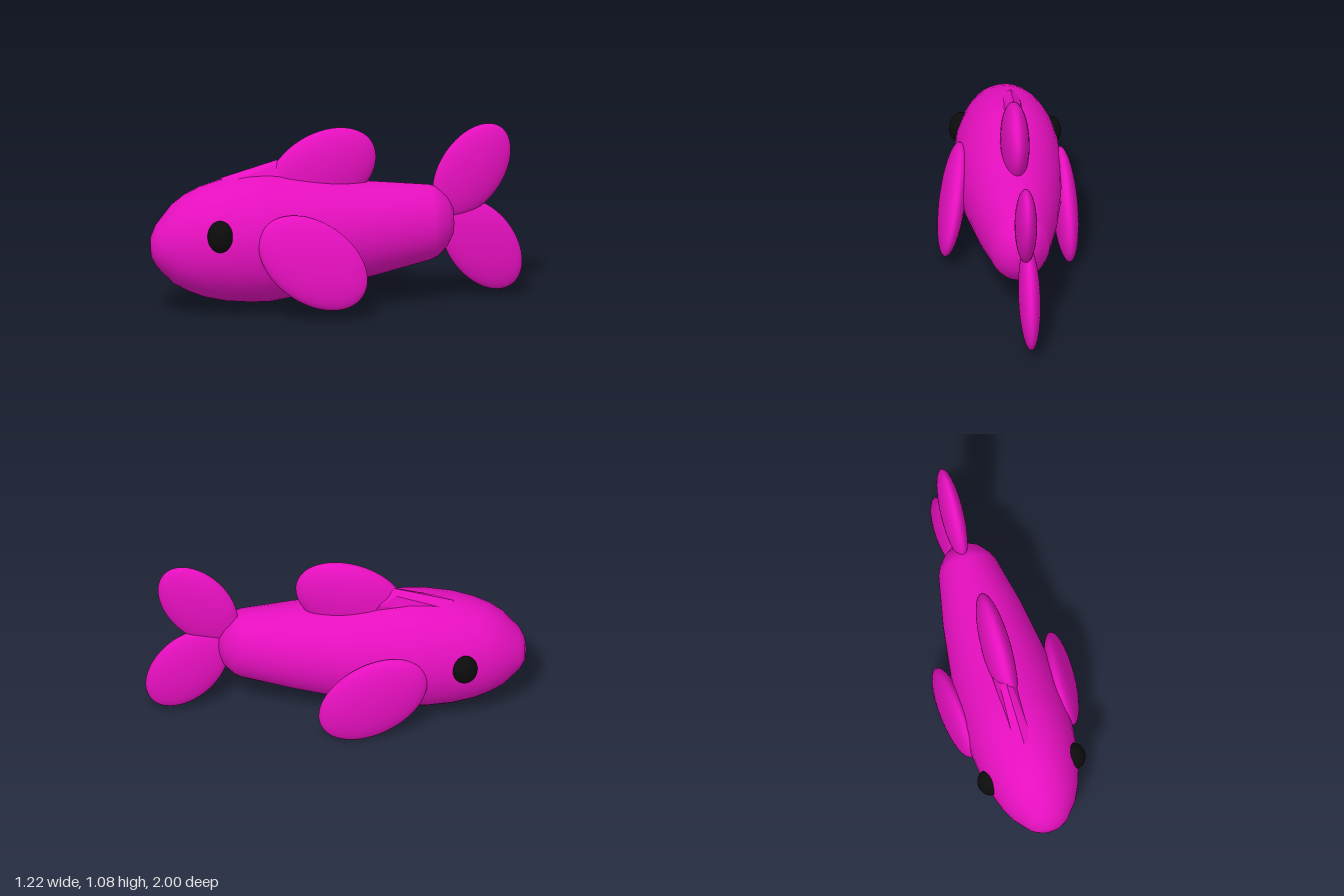
import * as THREE from 'three';
import { ConvexGeometry } from 'three/addons/geometries/ConvexGeometry.js';

const skin = new THREE.MeshStandardMaterial({ color: 0xe60fbf });
const black = new THREE.MeshStandardMaterial({ color: 0x0c0c0c });
const V = (x, y, z) => new THREE.Vector3(x, y, z);

// Ellipsoid whose long axis follows u and whose thin axis follows n
function ellipsoid(name, material, center, u, n, [long, wide, thin]) {
  const axisU = u.clone().normalize();
  const axisV = n.clone().cross(axisU).normalize();
  const axisN = axisU.clone().cross(axisV);
  const geometry = new THREE.SphereGeometry(1, 40, 28);
  geometry.scale(long, wide, thin);
  geometry.applyMatrix4(new THREE.Matrix4().makeBasis(axisU, axisV, axisN));
  const mesh = new THREE.Mesh(geometry, material);
  mesh.name = name;
  mesh.position.copy(center);
  return mesh;
}

// Body skinned over elliptical rings: [z, centre y, half width, half height]
function bodyGeometry() {
  const rings = [
    [1.09, -0.03, 0.002, 0.002], [1.08, -0.03, 0.07, 0.07], [1.05, -0.025, 0.118, 0.13],
    [0.95, -0.018, 0.197, 0.24], [0.87, -0.013, 0.237, 0.29], [0.78, -0.011, 0.267, 0.33],
    [0.65, -0.007, 0.297, 0.364], [0.5, -0.005, 0.313, 0.381], [0.38, -0.004, 0.315, 0.383],
    [0.2, -0.002, 0.308, 0.358], [0, 0.005, 0.29, 0.323], [-0.3, 0.022, 0.245, 0.275],
    [-0.6, 0.04, 0.18, 0.225], [-0.64, 0.042, 0.163, 0.21], [-0.7, 0.045, 0.118, 0.155],
    [-0.735, 0.045, 0.07, 0.09], [-0.745, 0.045, 0.002, 0.002],
  ];
  const sides = 32, positions = [], index = [];
  rings.forEach(([z, cy, w, h], r) => {
    for (let s = 0; s < sides; s++) {
      const a = (s / sides) * Math.PI * 2;
      positions.push(w * Math.cos(a), cy + h * Math.sin(a), z);
      if (r === 0) continue;
      const next = (s + 1) % sides;
      const a0 = (r - 1) * sides + s, a1 = (r - 1) * sides + next;
      const b0 = r * sides + s, b1 = r * sides + next;
      index.push(a0, b0, a1, a1, b0, b1);
    }
  });
  const geometry = new THREE.BufferGeometry();
  geometry.setAttribute('position', new THREE.Float32BufferAttribute(positions, 3));
  geometry.setIndex(index);
  geometry.computeVertexNormals();
  return geometry;
}

export function createModel() {
  const model = new THREE.Group();
  model.name = 'fish';
  model.rotation.y = -Math.PI / 6;

  // The fish leans slightly about its own long axis
  const fish = new THREE.Group();
  fish.name = 'leaningFish';
  fish.position.set(0.06, 0.44, 0);
  fish.rotation.z = 0.09;
  model.add(fish);

  const body = new THREE.Mesh(bodyGeometry(), skin);
  body.name = 'body';
  fish.add(body);

  // Back fin, standing upright, with the wedge that leads into it
  const upright = V(1, -0.09, 0);
  fish.add(ellipsoid('dorsalFin', skin, V(0.015, 0.37, 0.05), V(0.042, 0.47, -0.88), upright, [0.35, 0.24, 0.085]));
  const wedgePoints = [V(0, 0.365, 0.66), V(0.005, 0.455, 0.33), V(0.01, 0.47, 0.25)];
  for (const s of [-1, 1]) {
    wedgePoints.push(V(s * 0.055, 0.34, 0.64), V(s * 0.035, 0.435, 0.32), V(s * 0.06, 0.38, 0.22),
      V(s * 0.06, 0.25, 0.6), V(s * 0.07, 0.25, 0.1));
  }
  const wedge = new THREE.Mesh(new ConvexGeometry(wedgePoints), skin);
  wedge.name = 'dorsalFinWedge';
  fish.add(wedge);

  // Upright tail fins
  fish.add(ellipsoid('upperTailFin', skin, V(0.008, 0.34, -0.858), V(0.075, 0.83, -0.56), upright, [0.31, 0.195, 0.065]));
  fish.add(ellipsoid('lowerTailFin', skin, V(-0.05, -0.115, -0.922), V(-0.074, -0.81, -0.59), upright, [0.315, 0.2, 0.065]));

  // Side fins and eyes
  for (const [side, s] of [['left', 1], ['right', -1]]) {
    fish.add(ellipsoid(side + 'SideFin', skin, V(s * 0.335, -0.12, 0.176),
      V(s * -0.1, 0.59, 0.81), V(s, 0.1, 0.05), [0.36, 0.24, 0.075]));
    fish.add(ellipsoid(side + 'Eye', black, V(s * 0.262, 0.052, 0.72),
      V(0, 1, 0), V(s, 0, 0.15), [0.096, 0.076, 0.07]));
  }
  return model;
}
